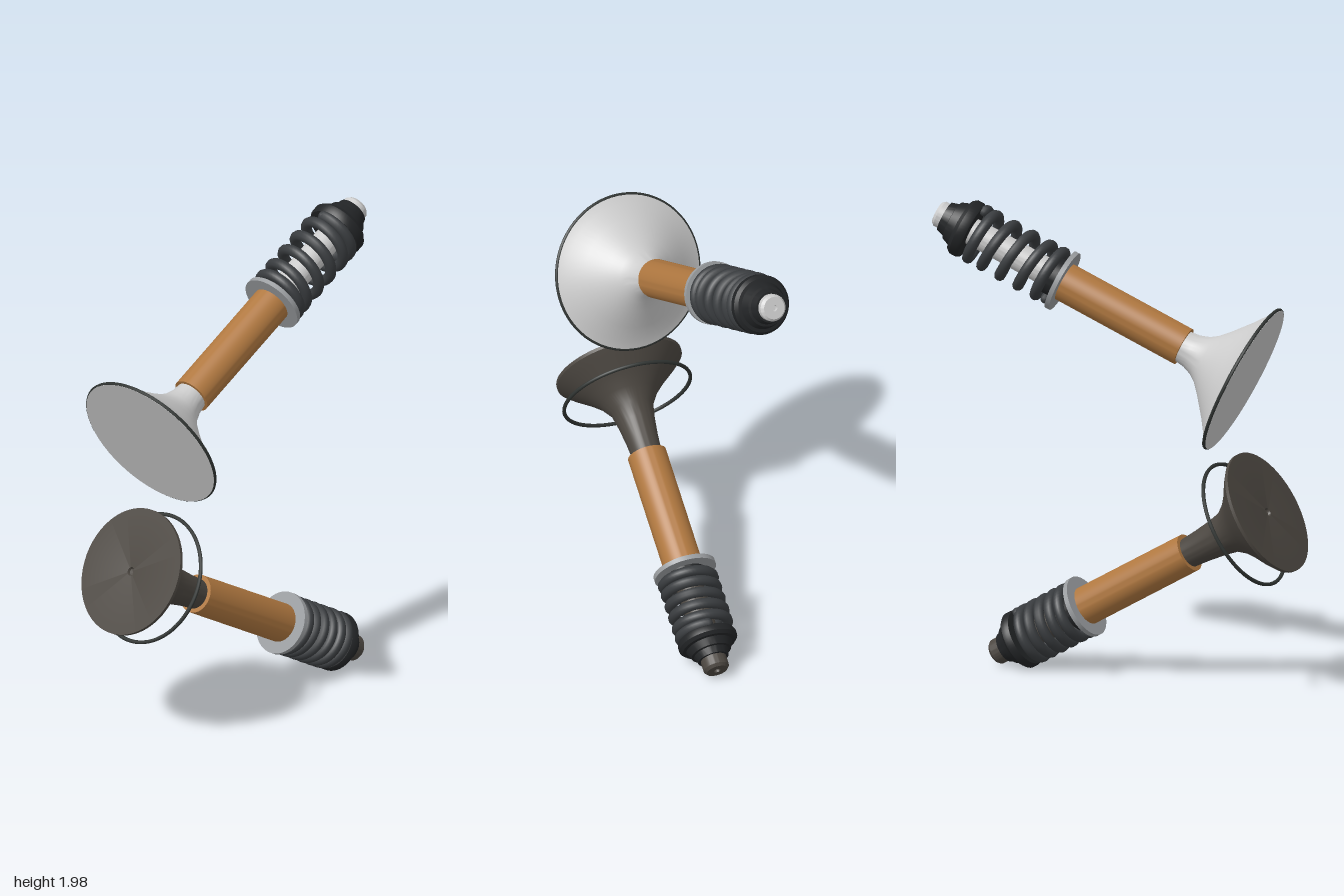
import * as THREE from 'three';
import { toCreasedNormals } from 'three/addons/utils/BufferGeometryUtils.js';

const material = (color) => new THREE.MeshStandardMaterial({ color });
const darkSteel = material(0x3a3d40);
const black = material(0x222426);
const bronze = material(0xb07840);
const seatGrey = material(0x9a9da0);
const ringGrey = material(0x303432);

// Revolved part; points are [radius, distance along the valve axis]
function lathe(name, points, mat) {
  const profile = points.map(([r, t]) => new THREE.Vector2(r, t));
  const mesh = new THREE.Mesh(toCreasedNormals(new THREE.LatheGeometry(profile, 56), 0.5), mat);
  mesh.name = name;
  return mesh;
}

// Hollow cylinder between two heights
function sleeve(name, inner, outer, t0, t1, mat) {
  return lathe(name, [[inner, t0], [outer, t0], [outer, t1], [inner, t1], [inner, t0]], mat);
}

// Helix with a closed coil at each end
class SpringCurve extends THREE.Curve {
  constructor(radius, wire, t0, t1, turns) {
    super();
    Object.assign(this, { radius, wire, t0, t1, turns });
  }
  getPoint(u, target = new THREE.Vector3()) {
    const n = u * this.turns;
    const closed = 1.8 * this.wire;
    const span = this.t1 - this.t0;
    let h;
    if (n < 1) h = closed * n;
    else if (n > this.turns - 1) h = span - closed * (this.turns - n);
    else h = closed + (span - 2 * closed) * (n - 1) / (this.turns - 2);
    const a = n * Math.PI * 2;
    return target.set(this.radius * Math.cos(a), this.t0 + h, this.radius * Math.sin(a));
  }
}

function spring(radius, wire, t0, t1, turns) {
  const curve = new SpringCurve(radius, wire, t0 + wire, t1 - wire, turns);
  const mesh = new THREE.Mesh(new THREE.TubeGeometry(curve, 260, wire, 10), darkSteel);
  mesh.name = 'spring';
  const group = new THREE.Group();
  group.name = 'springCoil';
  group.add(mesh);
  // Wire end caps
  for (const u of [0, 1]) {
    const cap = new THREE.Mesh(new THREE.SphereGeometry(wire, 10, 8), darkSteel);
    cap.name = 'springEnd';
    cap.position.copy(curve.getPoint(u));
    group.add(cap);
  }
  return group;
}

// One valve assembly, built along +y from the head face to the stem tip
function valveAssembly(o) {
  const group = new THREE.Group();
  group.name = o.name;
  const tip = o.tipRadius;
  const L = o.length;

  // Head, stem and tip in one revolved body
  group.add(lathe('valve', [
    ...o.face, ...o.head,
    [tip, L - 0.1], [tip, L - 0.012], [tip - 0.01, L], [0.014, L], [0.012, L - 0.012], [0, L - 0.012],
  ], o.material));

  // Seat ring around the head
  const ring = new THREE.Mesh(new THREE.TorusGeometry(o.ringRadius, 0.008, 8, 72), ringGrey);
  ring.name = 'seatRing';
  ring.rotation.x = Math.PI / 2;
  ring.position.y = o.ringAt;
  group.add(ring);

  // Guide, stem seal and spring seat
  group.add(sleeve('guide', 0.05, 0.081, o.guideStart, o.seatAt + 0.01, bronze));
  group.add(sleeve('springSeat', 0.06, 0.131, o.seatAt - 0.008, o.seatAt + 0.012, seatGrey));
  group.add(sleeve('stemSeal', 0.05, 0.082, o.seatAt + 0.01, o.seatAt + 0.055, black));
  group.add(spring(0.105, o.wire, o.seatAt + 0.012, o.retainerAt + 0.01, o.turns));

  // Stepped retainer tapering to the tip
  const r = o.retainerAt;
  const k = o.retainerHeight;
  group.add(lathe('retainer', [
    [0.05, r], [0.118, r], [0.124, r + 0.012], [0.124, r + 0.3 * k], [0.112, r + 0.42 * k],
    [0.098, r + 0.44 * k], [0.084, r + 0.72 * k], [0.074, r + 0.74 * k],
    [0.064, r + k], [0.05, r + k],
  ], black));

  // Lean the assembly from head centre to tip
  const from = new THREE.Vector3(...o.from);
  const dir = new THREE.Vector3(...o.to).sub(from).normalize();
  group.position.copy(from);
  group.quaternion.setFromUnitVectors(new THREE.Vector3(0, 1, 0), dir);
  return group;
}

export function createModel() {
  const model = new THREE.Group();
  model.name = 'valvePair';

  model.add(valveAssembly({
    name: 'upperValve', material: material(0xdcdcdc),
    from: [-0.55, 1.315, 0], to: [0.77, 1.937, -0.09], length: 1.455, tipRadius: 0.056,
    face: [[0, 0]],
    head: [[0.322, 0], [0.322, 0.014], [0.285, 0.032], [0.225, 0.077], [0.15, 0.14],
      [0.11, 0.178], [0.087, 0.21], [0.073, 0.25], [0.068, 0.29], [0.062, 0.4]],
    ringRadius: 0.32, ringAt: 0.008,
    guideStart: 0.289, seatAt: 0.86, wire: 0.023, turns: 5.5,
    retainerAt: 1.29, retainerHeight: 0.13,
  }));

  model.add(valveAssembly({
    name: 'lowerValve', material: material(0x4c4741),
    from: [-0.655, 0.77, -0.008], to: [0.58, 0.058, 0.085], length: 1.425, tipRadius: 0.054,
    face: [[0, 0.014], [0.014, 0.01], [0.018, 0]],
    head: [[0.267, 0], [0.267, 0.014], [0.235, 0.045], [0.17, 0.1], [0.125, 0.145],
      [0.09, 0.198], [0.078, 0.26], [0.068, 0.34], [0.062, 0.42]],
    ringRadius: 0.27, ringAt: 0.125,
    guideStart: 0.41, seatAt: 0.955, wire: 0.022, turns: 5.5,
    retainerAt: 1.265, retainerHeight: 0.105,
  }));

  return model;
}
